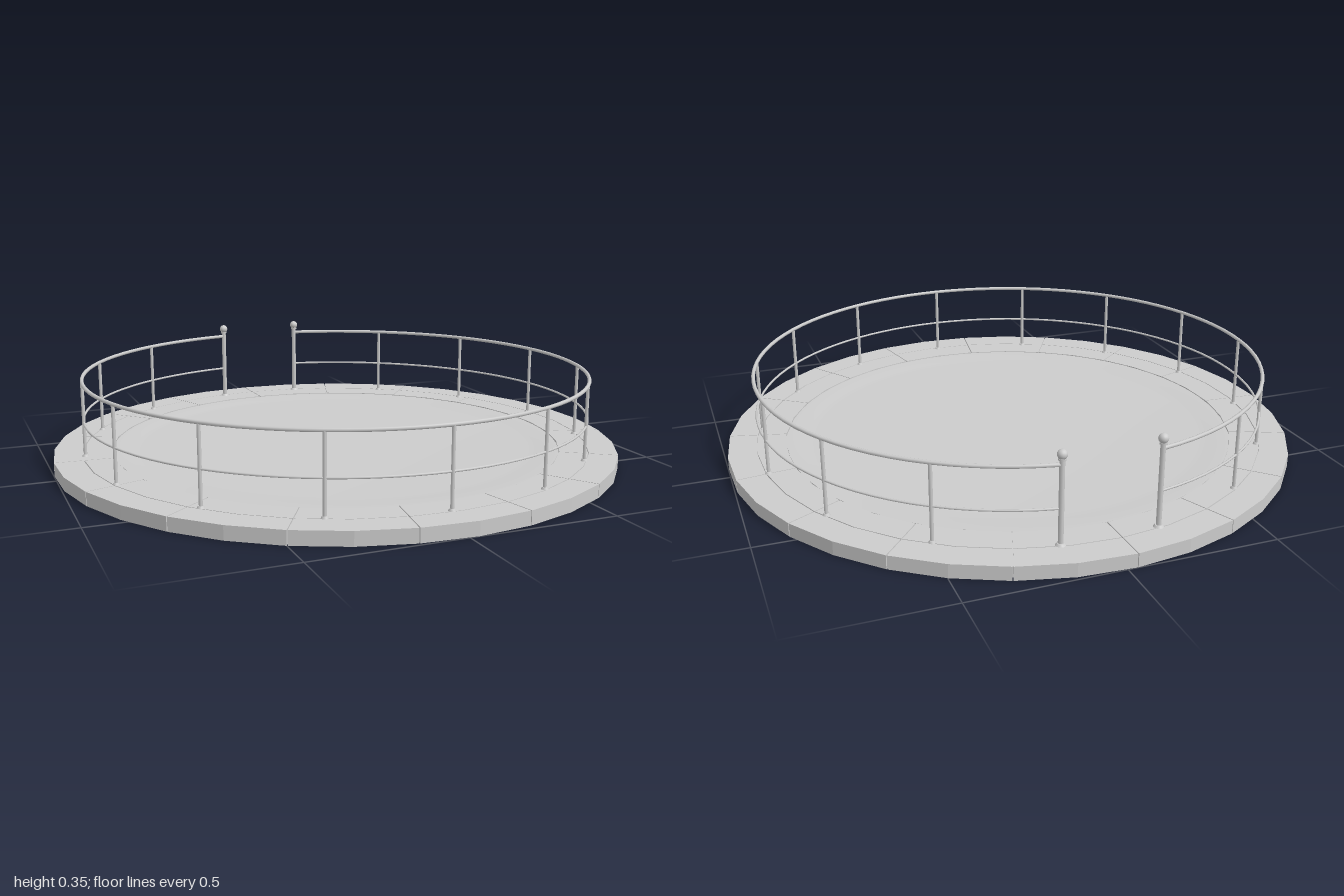
import * as THREE from 'three';

const SLABS = 17, STEP = (Math.PI * 2) / SLABS, SLAB_START = -0.032;
const H = 0.046;                        // platform height
const RAIL_R = 0.891, POSTS = 15;       // railing radius and post count
const GATE = THREE.MathUtils.degToRad(10.3);
const grey = new THREE.MeshStandardMaterial({ color: 0xcccccc });
const flat = new THREE.MeshStandardMaterial({ color: 0xcccccc, flatShading: true });

// Angles are measured clockwise from the back (-z), seen from above.
const polar = (a, r) => [Math.sin(a) * r, -Math.cos(a) * r];

function add(parent, name, geometry, material = grey) {
  const mesh = new THREE.Mesh(geometry, material);
  mesh.name = name;
  parent.add(mesh);
  return mesh;
}

// One paving slab: a two-segment ring sector with narrow joints on all sides.
function slabGeometry(a0, inner, outer) {
  const joint = 0.0015, a1 = a0 + STEP, mid = a0 + STEP / 2;
  const points = [
    polar(a0 + joint / inner, inner), polar(mid, inner), polar(a1 - joint / inner, inner),
    polar(a1 - joint / outer, outer), polar(mid, outer), polar(a0 + joint / outer, outer),
  ].map(([x, z]) => new THREE.Vector2(x, z));
  const g = new THREE.ExtrudeGeometry(new THREE.Shape(points), { depth: H, bevelEnabled: false });
  return g.rotateX(Math.PI / 2).translate(0, H, 0);
}

function lathe(profile, segments) {
  return new THREE.LatheGeometry(profile.map(([r, y]) => new THREE.Vector2(r, y)), segments);
}

export function createModel() {
  const model = new THREE.Group();
  model.name = 'railedPlatform';

  // Two rings of paving slabs
  const paving = new THREE.Group();
  paving.name = 'paving';
  model.add(paving);
  for (let i = 0; i < SLABS; i++) {
    const a = SLAB_START + i * STEP;
    add(paving, 'outerSlab', slabGeometry(a, 0.902, 1.0), flat);
    add(paving, 'innerSlab', slabGeometry(a, 0.8, 0.899), flat);
  }

  // Mortar bed filling the joints just below the slab surfaces
  add(model, 'mortarBed', lathe(
    [[0.79, 0.004], [0.99, 0.004], [0.99, H - 0.006], [0.79, H - 0.006]], 34), flat);

  // Central floor with a slightly dished middle and a closed underside
  add(model, 'floor', lathe([
    [0, 0], [0.796, 0], [0.796, 0], [0.796, H - 0.002], [0.796, H - 0.002],
    [0.75, H - 0.003], [0.72, H - 0.007], [0.68, H - 0.008], [0, H - 0.008],
  ], 68));

  // Railing, open at the back
  const railing = new THREE.Group();
  railing.name = 'railing';
  model.add(railing);

  const arc = Math.PI * 2 - GATE * 2;
  for (const [name, y, r] of [['topRail', 0.304, 0.0065], ['middleRail', 0.165, 0.004]]) {
    const g = new THREE.TorusGeometry(RAIL_R, r, 8, 84, arc);
    g.rotateX(Math.PI / 2).rotateY(Math.PI / 2 - GATE).translate(0, y, 0);
    add(railing, name, g);
  }

  for (let i = 0; i < POSTS; i++) {
    const isEnd = i === 0 || i === POSTS - 1;
    const post = new THREE.Group();
    post.name = isEnd ? 'gatePost' : 'railPost';
    const [x, z] = polar(GATE + (arc * i) / (POSTS - 1), RAIL_R);
    post.position.set(x, H, z);
    railing.add(post);

    const r = isEnd ? 0.0085 : 0.006;
    const height = (isEnd ? 0.325 : 0.304) - H;
    add(post, 'shaft', new THREE.CylinderGeometry(r, r, height, 10).translate(0, height / 2, 0));
    // Foot flange
    add(post, 'foot', new THREE.CylinderGeometry(r * 1.4, r * 2, 0.007, 12).translate(0, 0.0035, 0));
    // Ball finial on a small collar
    if (isEnd) {
      add(post, 'collar', new THREE.CylinderGeometry(0.012, 0.012, 0.006, 12).translate(0, height - 0.004, 0));
      add(post, 'finial', new THREE.SphereGeometry(0.016, 14, 10).translate(0, height + 0.011, 0));
    }
  }
  return model;
}
